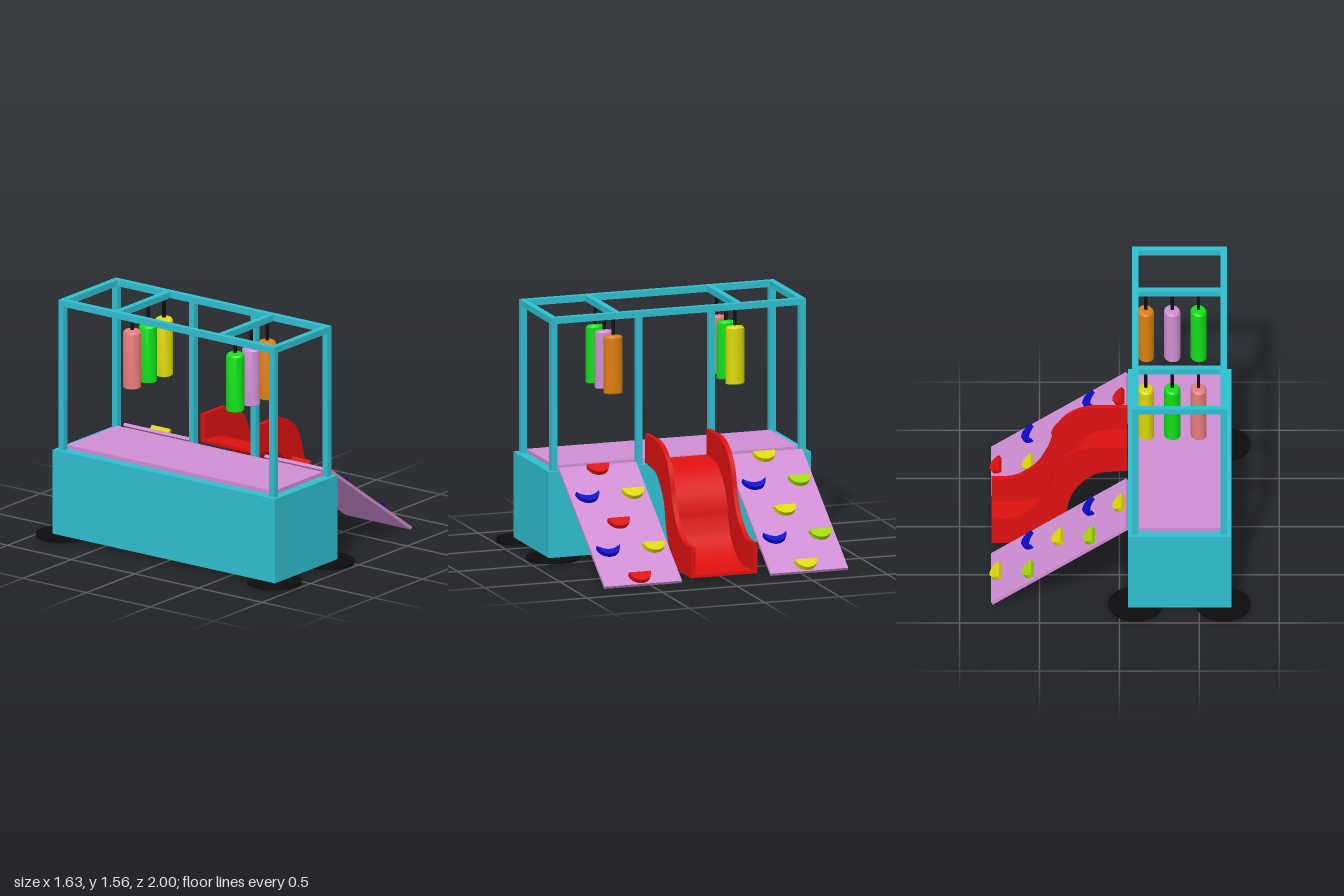
import * as THREE from 'three';
import { toCreasedNormals } from 'three/addons/utils/BufferGeometryUtils.js';

const mat = (name, color) => {
  const m = new THREE.MeshStandardMaterial({ color });
  m.name = name;
  return m;
};

export function createModel() {
  const model = new THREE.Group();
  model.name = 'climbingPlayset';
  const teal = mat('teal', 0x2fbfd0), pink = mat('pink', 0xd08fd4), red = mat('red', 0xdd1010);
  const black = mat('black', 0x0c0c0c), green = mat('green', 0x10e018), orange = mat('orange', 0xdd8010);
  const yellow = mat('yellow', 0xdcd808), salmon = mat('salmon', 0xe67c7c);
  const blue = mat('blue', 0x0a0ad0), lime = mat('lime', 0xa4d808);

  const add = (name, geo, material, parent = model) => {
    const mesh = new THREE.Mesh(geo, material);
    mesh.name = name;
    parent.add(mesh);
    return mesh;
  };
  // Box given by its extents on each axis
  const block = (name, x0, x1, y0, y1, z0, z1, material) =>
    add(name, new THREE.BoxGeometry(x1 - x0, y1 - y0, z1 - z0), material)
      .position.set((x0 + x1) / 2, (y0 + y1) / 2, (z0 + z1) / 2);

  // Base: hollow box, open below, on four round feet
  block('baseWallRight', -0.085, -0.055, 0.03, 0.58, -0.873, 0.873, teal);
  block('baseWallLeft', -0.7, -0.67, 0.03, 0.58, -0.873, 0.873, teal);
  for (const s of [-1, 1]) {
    const z = s * 0.858;
    block('baseWallEnd', -0.67, -0.085, 0.03, 0.58, z - 0.015, z + 0.015, teal);
    for (const x of [-0.65, -0.1]) {
      add('foot', new THREE.CylinderGeometry(0.17, 0.17, 0.015, 40), black)
        .position.set(x, 0.0225, s * 0.83);
    }
  }
  block('baseTop', -0.67, -0.085, 0.56, 0.58, -0.843, 0.843, teal);
  block('platform', -0.632, -0.118, 0.58, 0.606, -0.81, 0.81, pink);

  // Frame: corner posts, two doorway posts and the top rails
  const h = 0.02, left = -0.653, right = -0.1;
  for (const z of [-0.827, 0.827]) {
    for (const x of [left, right]) block('cornerPost', x - h, x + h, 0.03, 1.52, z - h, z + h, teal);
  }
  for (const z of [-0.222, 0.26]) block('doorPost', right - h, right + h, 0.58, 1.52, z - h, z + h, teal);
  for (const x of [left, right]) block('sideRail', x - h, x + h, 1.52, 1.56, -0.847, 0.847, teal);
  for (const z of [-0.827, -0.41, 0.4, 0.827]) {
    block('crossRail', left + h, right - h, 1.52, 1.56, z - h, z + h, teal);
  }

  // Hanging bags: lathed, slightly flattened, with slanted ends
  const bagProfile = [[0, 1.03], [0.048, 1.03], [0.06, 1.036], [0.06, 1.39], [0.05, 1.402], [0, 1.41]]
    .map(([r, y]) => new THREE.Vector2(r, y));
  const makeBag = () => {
    const geo = new THREE.LatheGeometry(bagProfile, 20);
    geo.scale(0.85, 1, 1);
    const p = geo.attributes.position;
    for (let i = 0; i < p.count; i++) p.setY(i, p.getY(i) + 0.1 * p.getX(i));
    return toCreasedNormals(geo, 0.6);
  };
  const bagRows = [[0.405, [green, pink, orange]], [-0.405, [salmon, green, yellow]]];
  for (const [z, colours] of bagRows) {
    colours.forEach((colour, i) => {
      const x = -0.495 + i * 0.165;
      add('hangingBag', makeBag(), colour).position.set(x, -0.004, z);
      add('bagStrap', new THREE.CylinderGeometry(0.011, 0.011, 0.13, 10), black).position.set(x, 1.46, z);
    });
  }

  // Slide: curved floor between two side walls
  const smooth = (pts, n) => new THREE.SplineCurve(pts.map(([x, y]) => new THREE.Vector2(x, y))).getPoints(n);
  const under = smooth([[-0.05, 0.595], [0.06, 0.588], [0.147, 0.571], [0.225, 0.514], [0.29, 0.427], [0.317, 0.352],
    [0.328, 0.295], [0.365, 0.195], [0.42, 0.12], [0.51, 0.055], [0.6, 0.03], [0.7, 0.03], [0.8, 0.03]], 48);
  const crest = smooth([[-0.05, 0.78], [0.06, 0.78], [0.146, 0.78], [0.2, 0.773], [0.27, 0.75], [0.35, 0.69], [0.4, 0.61],
    [0.42, 0.55], [0.435, 0.49], [0.466, 0.418], [0.523, 0.326], [0.62, 0.25], [0.7, 0.225], [0.8, 0.225]], 48);
  const surface = under.map((p, i) => {
    const a = under[Math.max(i - 1, 0)], b = under[Math.min(i + 1, under.length - 1)];
    const t = b.clone().sub(a).normalize();
    return new THREE.Vector2(i === 0 ? -0.05 : i === 48 ? 0.8 : p.x - t.y * 0.02, p.y + t.x * 0.02);
  });
  const strip = (name, low, high, z0, z1) => {
    const shape = new THREE.Shape([...low, ...[...high].reverse()]);
    const geo = new THREE.ExtrudeGeometry(shape, { depth: z1 - z0, bevelEnabled: false });
    add(name, toCreasedNormals(geo, 0.5), red).position.z = z0;
  };
  strip('slideFloor', under, surface, -0.175, 0.205);
  strip('slideWall', under, crest, 0.205, 0.235);
  strip('slideWall', under, crest, -0.205, -0.175);

  // Climbing holds: half discs and crescents
  const half = new THREE.Shape();
  half.absarc(0, 0, 0.072, -Math.PI / 2, Math.PI / 2, false);
  half.closePath();
  const crescent = new THREE.Shape();
  crescent.absarc(0, 0, 0.076, -Math.PI / 2, Math.PI / 2, false);
  crescent.quadraticCurveTo(0.07, 0, 0, -0.076);
  const holdGeo = (shape) => {
    const geo = new THREE.ExtrudeGeometry(shape, { depth: 0.03, bevelEnabled: false, curveSegments: 16 });
    geo.rotateX(-Math.PI / 2);
    return toCreasedNormals(geo, 0.6);
  };
  const halfGeo = holdGeo(half), crescentGeo = holdGeo(crescent);

  // Climbing ramps: local x runs down the slope, local y points out of it
  const ramp = (z, columns) => {
    const group = new THREE.Group();
    group.name = 'climbingRamp';
    group.position.set(0.374, 0.305, z);
    group.rotation.z = -0.607;
    add('rampBoard', new THREE.BoxGeometry(1.028, 0.02, 0.514), pink, group);
    for (const [holdZ, geo, colour, spots] of columns) {
      for (const s of spots) add('climbingHold', geo, colour, group).position.set(s, 0.009, holdZ - z);
    }
    model.add(group);
  };
  const three = [-0.5, -0.035, 0.435], two = [-0.275, 0.19];
  ramp(0.553, [[0.56, halfGeo, red, three], [0.395, halfGeo, yellow, two], [0.697, crescentGeo, blue, two]]);
  ramp(-0.553, [[-0.545, halfGeo, yellow, three], [-0.712, halfGeo, lime, two], [-0.41, crescentGeo, blue, two]]);

  return model;
}
